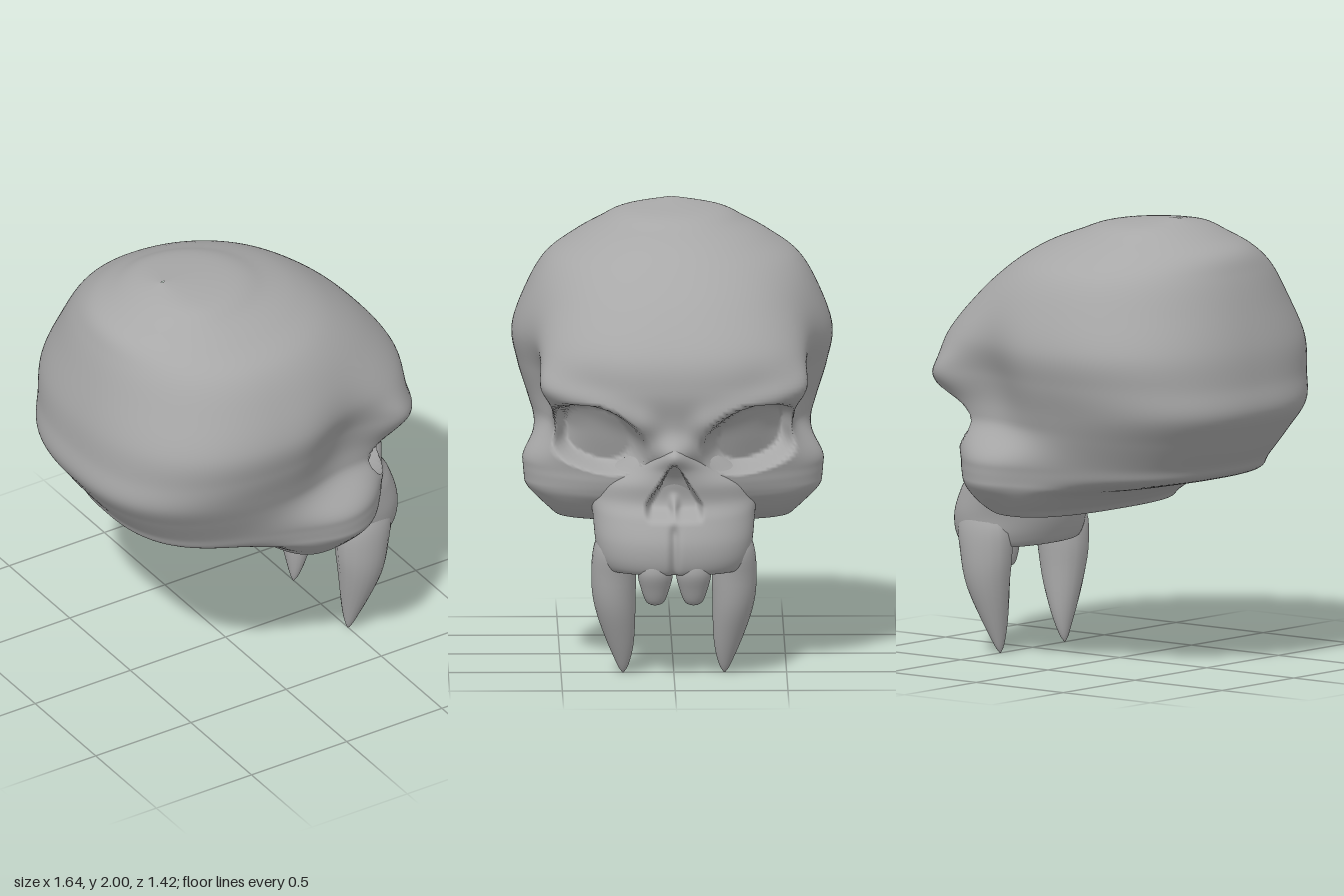
import * as THREE from 'three';

const bone = new THREE.MeshStandardMaterial({ color: 0xa8a8a8 });
bone.name = 'bone grey';

const gauss = (d, s) => Math.exp(-(d * d) / (s * s));
const step = THREE.MathUtils.smoothstep;

// Smooth value of a row table at t (0..1)
function sample(rows, t) {
  const f = t * (rows.length - 1);
  const i = Math.min(Math.floor(f), rows.length - 2);
  const k = f - i;
  const at = (n) => rows[THREE.MathUtils.clamp(n, 0, rows.length - 1)];
  return rows[i].map((b, c) => {
    const a = at(i - 1)[c], d = at(i + 1)[c], e = at(i + 2)[c];
    return b + 0.5 * k * (d - a + k * (2 * a - 5 * b + 4 * d - e + k * (3 * (b - d) + e - a)));
  });
}

// Stack of superellipse rings, listed from top to bottom.
// Row: [y, back x, front x, centre x, half width, roundness]
function loft(name, rows, steps, segs, rule) {
  const pos = [], index = [];
  for (let i = 0; i <= steps; i++) {
    const [y, back, front, cx, w, n] = sample(rows, i / steps);
    for (let j = 0; j < segs; j++) {
      const t = (j / segs) * Math.PI * 2;
      const a = t - 0.4 * Math.sin(t); // denser toward the face
      const c = Math.cos(a), s = Math.sin(a);
      const depth = Math.max(c > 0 ? front - cx : cx - back, 0.002);
      const r = (Math.abs(c / depth) ** n + Math.abs(s / Math.max(w, 0.002)) ** n) ** (-1 / n);
      const p = new THREE.Vector3(cx + r * c, y, r * s);
      rule(p);
      pos.push(p.x, p.y, p.z);
      if (i < steps) {
        const q = i * segs + j, e = i * segs + ((j + 1) % segs);
        index.push(q, e, q + segs, e, e + segs, q + segs);
      }
    }
  }
  const g = new THREE.BufferGeometry();
  g.setAttribute('position', new THREE.Float32BufferAttribute(pos, 3));
  g.setIndex(index);
  g.computeVertexNormals();
  const mesh = new THREE.Mesh(g, bone);
  mesh.name = name;
  return mesh;
}

// Temples, cheekbones, brow, nose bridge and eye sockets
function shapeCranium(p) {
  const side = Math.sign(p.z), x = p.x, y = p.y;
  const z0 = Math.abs(p.z);
  const flank = step(z0, 0.25, 0.5);
  let z = z0;
  z -= 0.085 * flank * gauss(x - 0.25, 0.2) * gauss(y - 1.27, 0.26);
  z += 0.06 * step(z0, 0.3, 0.45) * gauss(x - 0.56, 0.13) * gauss(y - 1.29, 0.11);
  z += 0.14 * flank * gauss(x - 0.26, 0.3) * step(y, 0.67, 0.83) * (1 - step(y, 0.91, 1.1));
  if (x > 0.2) {
    const face = step(x, 0.3, 0.55);
    p.x += 0.035 * face * gauss(y - 1.14 - 0.33 * (z0 - 0.1), 0.07) * step(z0, 0.03, 0.15);
    p.x += 0.085 * face * gauss(z0, 0.09) * gauss(y - 1.01, 0.075);
    const u = z0 - 0.335, v = y - 1.07 - 0.2 * u;
    const hole = 1 - step(Math.hypot(u / 0.21, v / 0.155), 0.8, 1.03);
    p.x -= 0.22 * hole;
    z += (0.33 - z) * 0.12 * hole;
  }
  p.z = side * z;
}

// Nose opening with a small spine, and the cleft below it
function shapeJaw(p) {
  if (p.x < 0.6) return;
  const z = Math.abs(p.z);
  const edge = 0.13 * THREE.MathUtils.clamp((0.985 - p.y) / 0.2, 0, 1);
  const hole = (1 - step(z, edge * 0.75, edge + 0.004)) * step(edge, 0, 0.03) * step(p.y, 0.71, 0.77);
  const spine = 0.6 * gauss(z, 0.018) * (1 - step(p.y, 0.76, 0.84));
  p.x -= 0.1 * hole * (1 - spine);
  p.x -= 0.025 * gauss(z, 0.02) * (1 - step(p.y, 0.66, 0.72));
}

export function createModel() {
  const skull = new THREE.Group();
  skull.name = 'skull';

  skull.add(loft('cranium', [
    [2.0, -0.34, -0.32, -0.33, 0.003, 2],
    [1.97, -0.43, -0.0, -0.25, 0.22, 2],
    [1.92, -0.535, 0.16, -0.22, 0.33, 2],
    [1.86, -0.635, 0.31, -0.19, 0.44, 2.05],
    [1.77, -0.685, 0.45, -0.16, 0.565, 2.1],
    [1.63, -0.735, 0.61, -0.14, 0.65, 2.2],
    [1.45, -0.787, 0.75, -0.13, 0.712, 2.4],
    [1.3, -0.805, 0.78, -0.13, 0.69, 2.5],
    [1.17, -0.818, 0.755, -0.13, 0.65, 2.6],
    [1.05, -0.745, 0.72, -0.05, 0.61, 2.6],
    [0.93, -0.655, 0.68, 0, 0.56, 2.6],
    [0.865, -0.6, 0.66, 0.05, 0.54, 2.7],
    [0.82, -0.4, 0.64, 0.1, 0.53, 2.7],
    [0.78, -0.2, 0.61, 0.15, 0.53, 2.6],
    [0.71, -0.06, 0.52, 0.2, 0.54, 2.5],
    [0.67, -0.01, 0.43, 0.2, 0.51, 2.5],
    [0.69, 0.06, 0.38, 0.22, 0.42, 2.3],
    [0.74, 0.12, 0.32, 0.22, 0.26, 2.2],
    [0.77, 0.21, 0.23, 0.22, 0.003, 2],
  ], 144, 180, shapeCranium));

  skull.add(loft('upperJaw', [
    [1.09, 0.4, 0.69, 0.5, 0.05, 2],
    [1.02, 0.4, 0.812, 0.48, 0.12, 1.7],
    [0.94, 0.38, 0.78, 0.46, 0.25, 1.65],
    [0.87, 0.37, 0.765, 0.45, 0.35, 1.75],
    [0.79, 0.35, 0.755, 0.46, 0.37, 1.8],
    [0.72, 0.34, 0.785, 0.5, 0.36, 2],
    [0.62, 0.34, 0.815, 0.55, 0.35, 2.1],
    [0.53, 0.36, 0.81, 0.55, 0.335, 2.2],
    [0.48, 0.385, 0.78, 0.55, 0.3, 2.2],
    [0.5, 0.43, 0.72, 0.55, 0.24, 2.2],
    [0.58, 0.54, 0.56, 0.55, 0.003, 2],
  ], 80, 140, shapeJaw));

  // Teeth, mirrored left and right
  for (const [side, label] of [[1, 'left'], [-1, 'right']]) {
    skull.add(loft(label + 'Canine', [
      [0.7, 0.52, 0.6, 0.56, 0.04, 2],
      [0.58, 0.43, 0.685, 0.555, 0.088, 2],
      [0.45, 0.42, 0.67, 0.55, 0.1, 2],
      [0.3, 0.44, 0.64, 0.54, 0.09, 2],
      [0.15, 0.465, 0.58, 0.52, 0.062, 2],
      [0.04, 0.485, 0.528, 0.505, 0.027, 2],
      [0.0, 0.498, 0.502, 0.5, 0.003, 2],
    ], 24, 24, (p) => { p.z += side * (0.225 + 0.042 * step(p.y, 0, 0.4)); }));

    skull.add(loft(label + 'Incisor', [
      [0.58, 0.68, 0.78, 0.73, 0.05, 2],
      [0.49, 0.665, 0.8, 0.73, 0.078, 2],
      [0.41, 0.67, 0.77, 0.72, 0.062, 2],
      [0.35, 0.685, 0.74, 0.71, 0.038, 2],
      [0.335, 0.708, 0.712, 0.71, 0.003, 2],
    ], 16, 20, (p) => { p.z += side * 0.085; }));
  }
  return skull;
}
